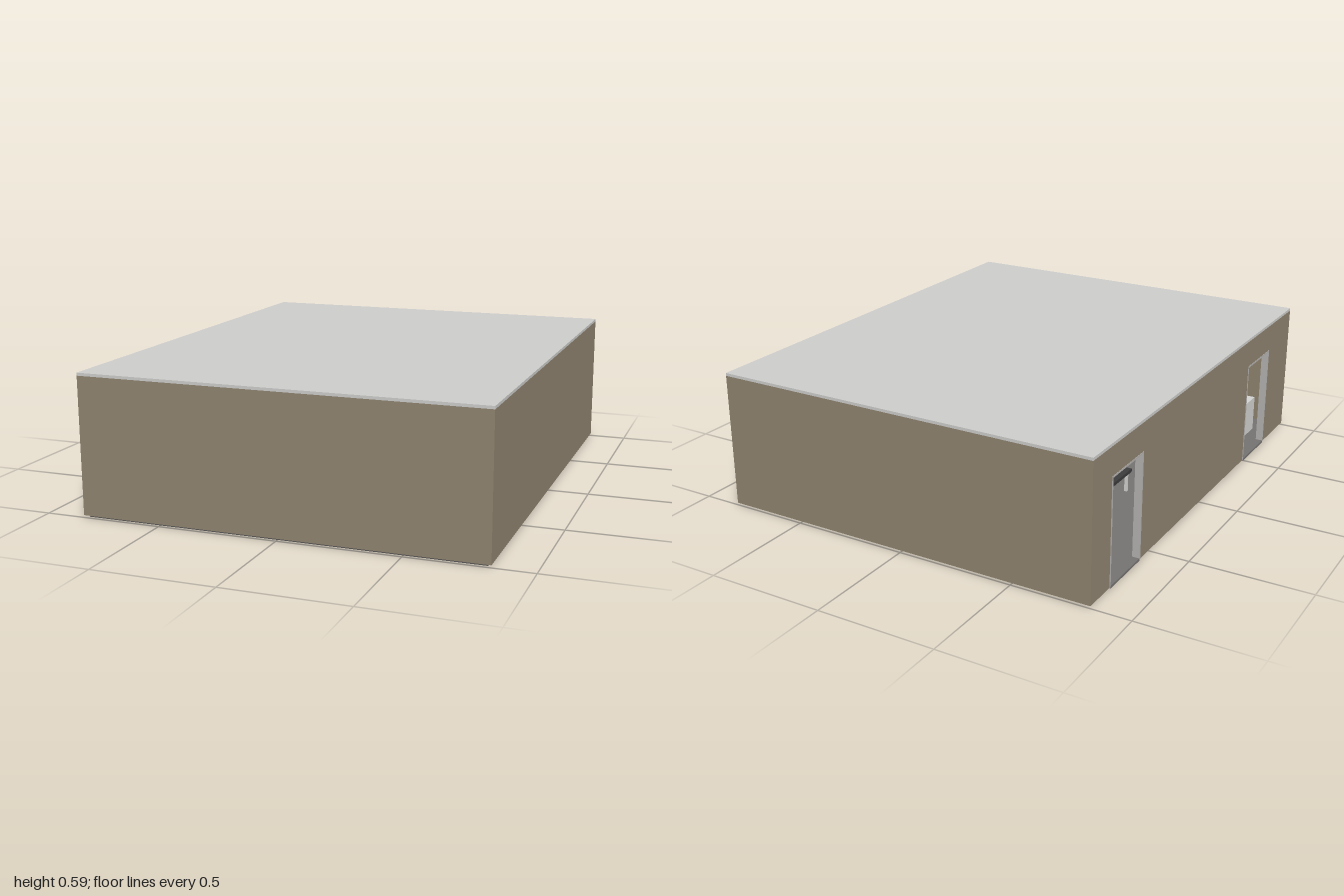
import * as THREE from 'three';

const mat = (name, color) => {
  const m = new THREE.MeshStandardMaterial({ color });
  m.name = name;
  return m;
};

export function createModel() {
  const wall = mat('wallTaupe', 0x8f836f);
  const roofGrey = mat('roofGrey', 0xcccccb);
  const slabGrey = mat('slabGrey', 0x5a5856);
  const floorGrey = mat('floorGrey', 0x757371);
  const trim = mat('trimGrey', 0xb4b2b0);
  const white = mat('fixtureWhite', 0xd2d2d0);
  const dark = mat('darkGrey', 0x3c3c3c);

  const model = new THREE.Group();
  model.name = 'building';
  const X = 0.835, Z = 1, T = 0.028, Y0 = 0.01, Y1 = 0.578, TOP = 0.59;

  // Box given by its lower and upper corners
  const box = (name, m, [x0, y0, z0], [x1, y1, z1], parent = model) => {
    const mesh = new THREE.Mesh(new THREE.BoxGeometry(x1 - x0, y1 - y0, z1 - z0), m);
    mesh.position.set((x0 + x1) / 2, (y0 + y1) / 2, (z0 + z1) / 2);
    mesh.name = name;
    parent.add(mesh);
    return mesh;
  };

  // Base, floor and roof
  box('baseSlab', slabGrey, [-X + 0.016, 0, -Z + 0.016], [X - 0.016, Y0, Z - 0.016]);
  box('floor', floorGrey, [-X + T, Y0, -Z + T], [X - T, Y0 + 0.003, Z - T]);
  box('roof', roofGrey, [-X, Y1, -Z], [X, TOP, Z]);

  // Closed walls
  box('frontWall', wall, [-X, Y0, Z - T], [X, Y1, Z]);
  box('backWall', wall, [-X, Y0, -Z], [X, Y1, -Z + T]);
  box('leftWall', wall, [X - T, Y0, -Z + T], [X, Y1, Z - T]);

  // Wall with two doorways, outlined along z and extruded outwards
  const doors = [[-0.85, -0.59], [0.48, 0.74]], doorTop = 0.46;
  const outline = new THREE.Shape();
  outline.moveTo(-Z + T, Y0);
  for (const [a, b] of doors) {
    outline.lineTo(a, Y0);
    outline.lineTo(a, doorTop);
    outline.lineTo(b, doorTop);
    outline.lineTo(b, Y0);
  }
  outline.lineTo(Z - T, Y0);
  outline.lineTo(Z - T, Y1);
  outline.lineTo(-Z + T, Y1);
  const doorWall = new THREE.Mesh(
    new THREE.ExtrudeGeometry(outline, { depth: T, bevelEnabled: false }), wall);
  doorWall.name = 'doorwayWall';
  doorWall.rotation.y = -Math.PI / 2;
  doorWall.position.x = -X + T;
  model.add(doorWall);

  // Door linings and sills
  for (const [a, b] of doors) {
    const frame = new THREE.Group();
    frame.name = 'doorFrame';
    model.add(frame);
    const x0 = -X - 0.001, x1 = -X + T + 0.002, w = 0.008;
    box('jamb', trim, [x0, Y0, a], [x1, doorTop, a + w], frame);
    box('jamb', trim, [x0, Y0, b - w], [x1, doorTop, b], frame);
    box('lintel', trim, [x0, doorTop - w, a + w], [x1, doorTop, b - w], frame);
    box('sill', floorGrey, [x0, 0.004, a + w], [x1, Y0 + 0.004, b - w], frame);
  }

  // White cabinet and dark wall panel beyond one doorway
  box('cabinet', white, [-0.744, Y0, 0.742], [-0.62, 0.175, 0.85]);
  box('wallPanel', dark, [-0.6, 0.1, 0.962], [-0.4, 0.22, 0.972]);

  // Table with light legs and small dishes beyond the other doorway
  const table = new THREE.Group();
  table.name = 'table';
  box('tableTop', dark, [-0.09, 0.085, -0.14], [0.09, 0.1, 0.14], table);
  for (const x of [-0.075, 0.075]) for (const z of [-0.12, 0.12]) {
    box('tableLeg', white, [x - 0.006, 0, z - 0.006], [x + 0.006, 0.085, z + 0.006], table);
  }
  for (const z of [-0.08, 0, 0.08]) {
    const dish = new THREE.Mesh(new THREE.CylinderGeometry(0.022, 0.014, 0.022, 16), white);
    dish.name = 'dish';
    dish.position.set(0, 0.111, z);
    table.add(dish);
  }
  table.position.set(-0.45, Y0 + 0.003, -0.2);
  model.add(table);

  return model;
}
